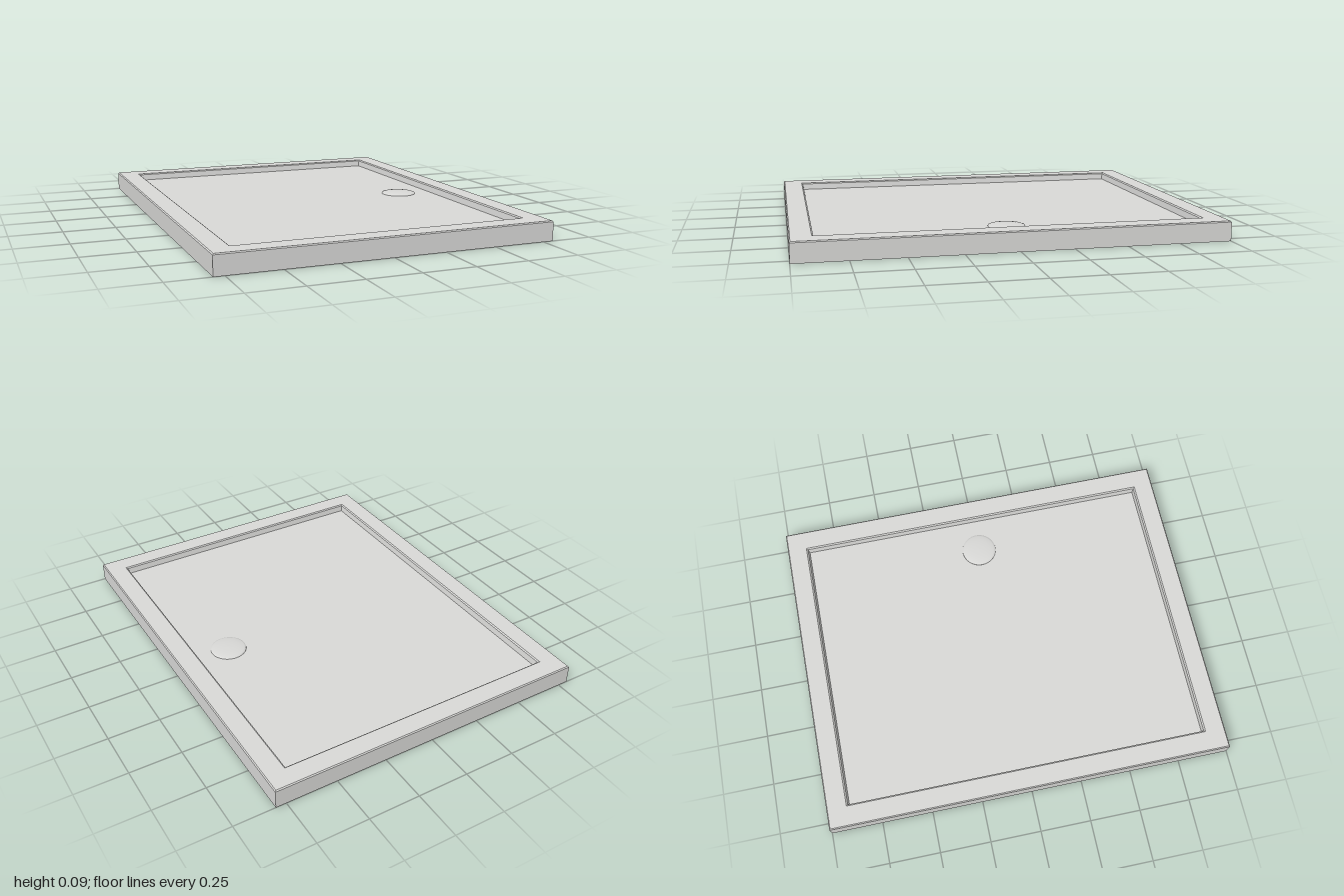
import * as THREE from 'three';

const white = new THREE.MeshStandardMaterial({ color: 0xd8d8d6 });
white.name = 'warm white';
const dark = new THREE.MeshStandardMaterial({ color: 0x363636 });
dark.name = 'dark grey';

// Rectangular rings [halfX, halfZ, y] joined in order, with both ends capped
function rectangularShell(rings) {
  const corners = [[1, 1], [1, -1], [-1, -1], [-1, 1]];
  const at = (k, i) => {
    const [hx, hz, y] = rings[k];
    const [sx, sz] = corners[i % 4];
    return [sx * hx, y, sz * hz];
  };
  const pos = [];
  const quad = (a, b, c, d) => pos.push(...a, ...b, ...c, ...a, ...c, ...d);
  const last = rings.length - 1;
  quad(at(0, 0), at(0, 1), at(0, 2), at(0, 3));
  for (let k = 0; k < last; k++) {
    for (let i = 0; i < 4; i++) quad(at(k, i), at(k + 1, i), at(k + 1, i + 1), at(k, i + 1));
  }
  quad(at(last, 3), at(last, 2), at(last, 1), at(last, 0));
  const g = new THREE.BufferGeometry();
  g.setAttribute('position', new THREE.Float32BufferAttribute(pos, 3));
  g.computeVertexNormals();
  return g;
}

export function createModel() {
  const group = new THREE.Group();
  group.name = 'showerTray';
  const add = (name, geometry, material, x = 0, y = 0) => {
    const mesh = new THREE.Mesh(geometry, material);
    mesh.name = name;
    mesh.position.set(x, y, 0);
    group.add(mesh);
  };

  // Tray: floor, recess wall, softened rim, skirt, then the hollow underside
  add('tray', rectangularShell([
    [0.69, 0.89, 0.06],
    [0.695, 0.895, 0.09],
    [0.702, 0.902, 0.095],
    [0.795, 0.995, 0.095],
    [0.8, 1, 0.09],
    [0.8, 1, 0],
    [0.796, 0.996, 0],
    [0.796, 0.996, 0.083],
    [0.71, 0.91, 0.083],
    [0.70, 0.90, 0.036],
  ]), white);

  // Shallow domed drain cover
  const dome = [[0.088, 0], [0.087, 0.004], [0.078, 0.007], [0.055, 0.01], [0.028, 0.0115], [0, 0.012]];
  add('drainCover', new THREE.LatheGeometry(dome.map(([r, y]) => new THREE.Vector2(r, y)), 48), white, 0.52, 0.06);

  // Drain flange and collar under the floor, with a dark outlet
  add('drainFlange', new THREE.CylinderGeometry(0.11, 0.11, 0.01, 40), white, 0.52, 0.032);
  add('drainCollar', new THREE.CylinderGeometry(0.085, 0.085, 0.024, 40), white, 0.52, 0.018);
  add('drainOutlet', new THREE.CylinderGeometry(0.078, 0.078, 0.004, 40), dark, 0.52, 0.005);
  return group;
}
